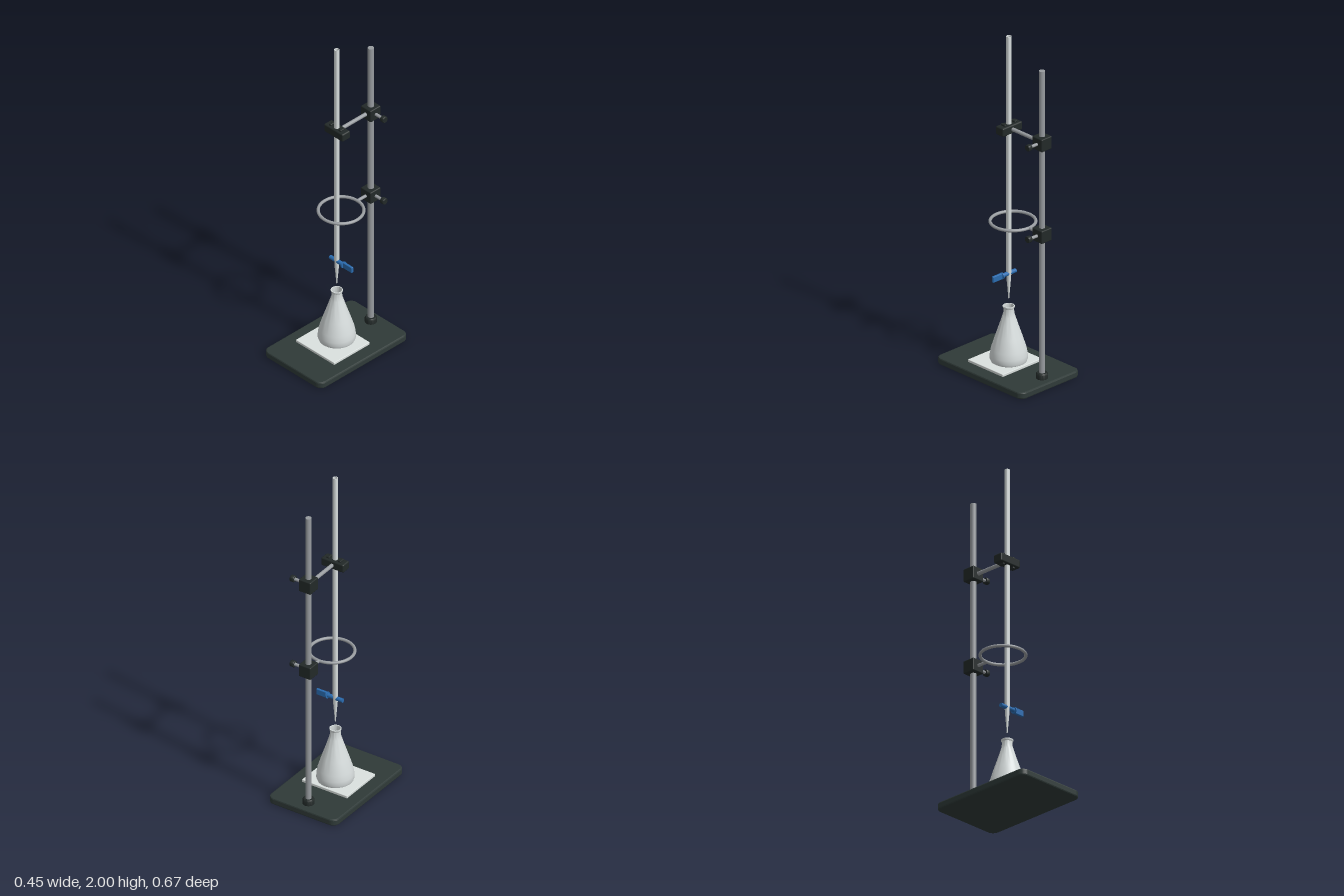
import * as THREE from 'three';
import { RoundedBoxGeometry } from 'three/addons/geometries/RoundedBoxGeometry.js';
import { toCreasedNormals } from 'three/addons/utils/BufferGeometryUtils.js';

const ROD_Z = -0.264, AXIS_Z = -0.006;

function material(name, color, side = THREE.FrontSide) {
  const m = new THREE.MeshStandardMaterial({ color, side });
  m.name = name;
  return m;
}

export function createModel() {
  const root = new THREE.Group();
  root.name = 'titrationStand';

  const enamel = material('dark green enamel', 0x2f3a38);
  const black = material('black casting', 0x222928);
  const steel = material('steel', 0x979b9f);
  const glass = material('pale glass', 0xd6dcdc, THREE.DoubleSide);
  const ceramic = material('white tile', 0xdbe1df);
  const blue = material('blue plastic', 0x2a6cb0);

  const add = (name, geometry, mat, x = 0, y = 0, z = 0, parent = root) => {
    const mesh = new THREE.Mesh(geometry, mat);
    mesh.name = name;
    mesh.position.set(x, y, z);
    parent.add(mesh);
    return mesh;
  };
  const alongX = (r, length) => new THREE.CylinderGeometry(r, r, length, 24).rotateZ(Math.PI / 2);
  const alongZ = (r, length) => new THREE.CylinderGeometry(r, r, length, 24).rotateX(Math.PI / 2);
  const lathe = (points, segments = 48) => toCreasedNormals(
    new THREE.LatheGeometry(points.map(([r, y]) => new THREE.Vector2(r, y)), segments), 0.6);

  // Base plate with rounded corners and a bevelled rim
  const bevel = 0.008, w = 0.224 - bevel, d = 0.335 - bevel, r = 0.032;
  const plate = new THREE.Shape();
  plate.absarc(w - r, d - r, r, 0, Math.PI / 2);
  plate.absarc(-w + r, d - r, r, Math.PI / 2, Math.PI);
  plate.absarc(-w + r, -d + r, r, Math.PI, Math.PI * 1.5);
  plate.absarc(w - r, -d + r, r, Math.PI * 1.5, Math.PI * 2);
  plate.closePath();
  const baseGeometry = new THREE.ExtrudeGeometry(plate, {
    depth: 0.04 - 2 * bevel, bevelEnabled: true, bevelSize: bevel,
    bevelThickness: bevel, bevelSegments: 2, curveSegments: 8,
  });
  add('base', baseGeometry.rotateX(-Math.PI / 2), enamel, 0, bevel, 0);
  add('tile', new RoundedBoxGeometry(0.297, 0.016, 0.271, 2, 0.003), ceramic, 0, 0.048, 0.024);

  // Upright rod and its foot collar
  add('rod', new THREE.CylinderGeometry(0.017, 0.017, 1.84, 28), steel, 0, 0.96, ROD_Z);
  add('rodCollar', lathe([[0, 0.038], [0.033, 0.038], [0.033, 0.066], [0.028, 0.074], [0, 0.074]]),
    black, 0, 0, ROD_Z);

  // Boss heads with thumb screws
  const addBoss = (name, y) => {
    const boss = new THREE.Group();
    boss.name = name;
    boss.position.set(0, y, ROD_Z);
    root.add(boss);
    add('block', new RoundedBoxGeometry(0.078, 0.076, 0.078, 2, 0.006), black, 0, 0, 0, boss);
    add('screw', alongX(0.009, 0.06), steel, 0.063, 0, 0, boss);
    const knob = lathe([[0, 0], [0.017, 0], [0.019, 0.003], [0.019, 0.022], [0.017, 0.025], [0, 0.025]], 24);
    add('knob', knob.rotateZ(-Math.PI / 2), black, 0.088, 0, 0, boss);
  };
  addBoss('upperBoss', 1.452);
  addBoss('lowerBoss', 0.903);

  // Burette clamp: arm, jaw and two grip pads
  add('clampArm', alongZ(0.011, 0.2), steel, 0, 1.452, -0.132);
  add('clampJaw', new RoundedBoxGeometry(0.147, 0.05, 0.059, 2, 0.008), black, 0, 1.452, -0.008);
  for (const side of [-1, 1]) {
    add('gripPad', new RoundedBoxGeometry(0.018, 0.07, 0.034, 2, 0.004), black, side * 0.038, 1.452, -0.007);
  }

  // Support ring on a short arm
  add('ringArm', alongZ(0.009, 0.07), steel, 0, 0.903, -0.195);
  add('supportRing', new THREE.TorusGeometry(0.124, 0.009, 12, 64).rotateX(Math.PI / 2),
    steel, 0, 0.903, -0.038);

  // Burette: open tube drawn down to a fine tip
  add('burette', lathe([
    [0.003, 0.43], [0.005, 0.46], [0.013, 0.555], [0.0145, 0.6], [0.0145, 2],
    [0.0115, 2], [0.0115, 0.62], [0, 0.61],
  ], 28), glass, 0, 0, AXIS_Z);

  // Stopcock
  const tap = new THREE.Group();
  tap.name = 'stopcock';
  tap.position.set(0, 0.58, AXIS_Z);
  root.add(tap);
  add('barrel', alongX(0.012, 0.104), blue, 0.002, 0, 0, tap);
  add('barrelCap', alongX(0.019, 0.008), blue, 0.052, 0, 0, tap);
  add('handle', new RoundedBoxGeometry(0.07, 0.036, 0.015, 2, 0.004), blue, 0.087, 0, 0, tap);

  // Conical flask with rounded heel, open neck and lip
  add('flask', lathe([
    [0, 0.057], [0.09, 0.057], [0.099, 0.062], [0.104, 0.075], [0.103, 0.1], [0.097, 0.135],
    [0.075, 0.205], [0.05, 0.28], [0.036, 0.325], [0.03, 0.345], [0.029, 0.372],
    [0.033, 0.378], [0.033, 0.386], [0.028, 0.386], [0.026, 0.345], [0.046, 0.28],
    [0.093, 0.135], [0.097, 0.075], [0, 0.064],
  ]), glass, 0, 0, AXIS_Z);

  return root;
}
